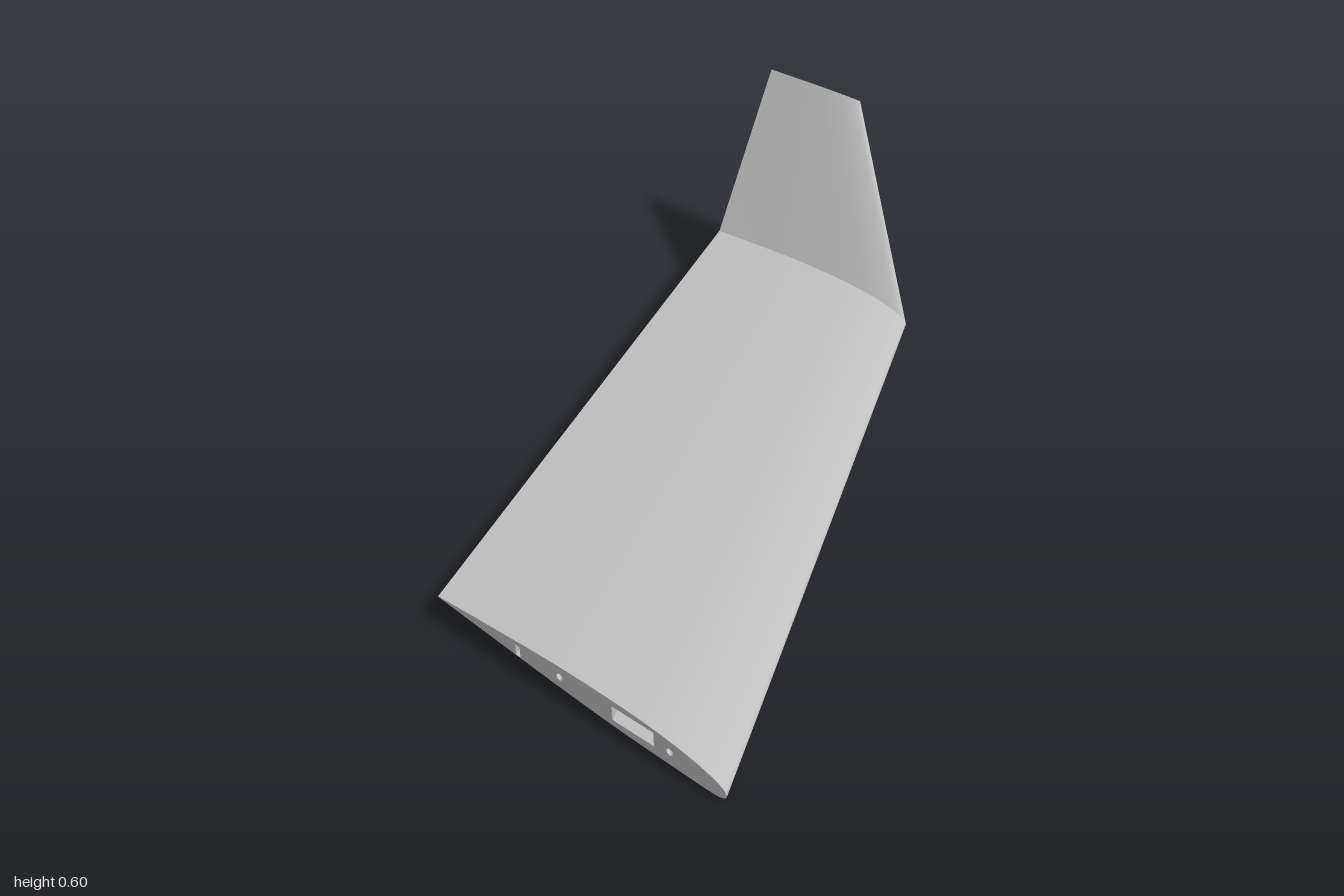
import * as THREE from 'three';

// Aerofoil outline in chord units [distance behind nose, height], from upper tail round the nose to lower tail
const foil = new THREE.CatmullRomCurve3([
  [1, 0.001], [0.8, 0.024], [0.59, 0.046], [0.37, 0.058], [0.25, 0.058], [0.157, 0.052],
  [0.07, 0.038], [0.027, 0.025], [0.006, 0.012], [0, 0], [0.006, -0.011], [0.027, -0.02],
  [0.07, -0.024], [0.157, -0.026], [0.37, -0.029], [0.59, -0.022], [0.8, -0.012], [1, -0.001],
].map(([t, h]) => new THREE.Vector3(t, h, 0))).getPoints(85);

// Place the aerofoil between a nose and a tail point, its thickness tilted about x
function section(nose, tail, tilt = 0, thick = 1) {
  const a = new THREE.Vector3(...nose), b = new THREE.Vector3(...tail);
  const chord = a.x - b.x;
  const up = new THREE.Vector3(0, Math.cos(tilt), Math.sin(tilt));
  return foil.map(p => a.clone().lerp(b, p.x).addScaledVector(up, p.y * chord * thick));
}

function geometry(points, index, flat = false) {
  let g = new THREE.BufferGeometry().setFromPoints(points);
  g.setIndex(index);
  if (flat) g = g.toNonIndexed();
  g.computeVertexNormals();
  return g;
}

// Skin between two matching outlines
function loft(a, b, flat) {
  const n = a.length, index = [];
  for (let i = 0; i < n - 1; i++) index.push(i, i + 1, n + i, i + 1, n + i + 1, n + i);
  return geometry([...a, ...b], index, flat);
}

// Flat cover over one outline
function cover(a) {
  const index = [];
  for (let i = 1; i < a.length - 1; i++) index.push(0, i, i + 1);
  return geometry(a, index);
}

// Counter-clockwise outlines of the openings in the root rib
function rectangle(x0, x1, y0, y1) {
  return [[x0, y0], [x1, y0], [x1, y1], [x0, y1], [x0, y0]].map(p => new THREE.Vector2(...p));
}
function circle(x, y, r) {
  return new THREE.Path().absarc(x, y, r, 0, Math.PI * 2, false).getPoints(12);
}

export function createModel() {
  const group = new THREE.Group();
  const grey = new THREE.MeshStandardMaterial({ color: 0xc0c0c0 });
  grey.name = 'light grey';
  const add = (name, geo) => {
    const mesh = new THREE.Mesh(geo, grey);
    mesh.name = name;
    group.add(mesh);
  };

  // Wing and winglet skins
  const root = section([0.745, 0.018, 1], [-0.18, 0.073, 1]);
  const bend = section([0.04, 0.126, -0.655], [-0.685, 0.177, -0.655]);
  const tip = section([-0.4, 0.589, -0.993], [-0.75, 0.592, -0.993], 0.9, 0.8);
  add('wingSkin', loft(root, bend));
  add('wingletSkin', loft(bend, tip));
  add('wingletTip', cover(tip));

  // Root rib with pockets that follow the sweep of the wing
  const openings = [
    ['sparPocket', rectangle(0.402, 0.53, 0.03, 0.073), 0.4],
    ['rearSlot', rectangle(0.089, 0.104, 0.043, 0.075), 0.05],
    ['middlePinHole', circle(0.235, 0.06, 0.01), 0.06],
    ['frontPinHole', circle(0.578, 0.043, 0.01), 0.06],
  ];
  const rib = new THREE.Shape(root.map(p => new THREE.Vector2(p.x, p.y)));
  for (const [name, outline, depth] of openings) {
    rib.holes.push(new THREE.Path(outline));
    const rim = outline.map(p => new THREE.Vector3(p.x, p.y, 1));
    const sweep = new THREE.Vector3(-0.39, 0.055, -1).multiplyScalar(depth);
    const floor = rim.map(p => p.clone().add(sweep));
    add(name + 'Walls', loft(rim, floor, true));
    add(name + 'Floor', cover(floor.slice(0, -1)));
  }
  add('rootRib', new THREE.ShapeGeometry(rib).translate(0, 0, 1));
  return group;
}
